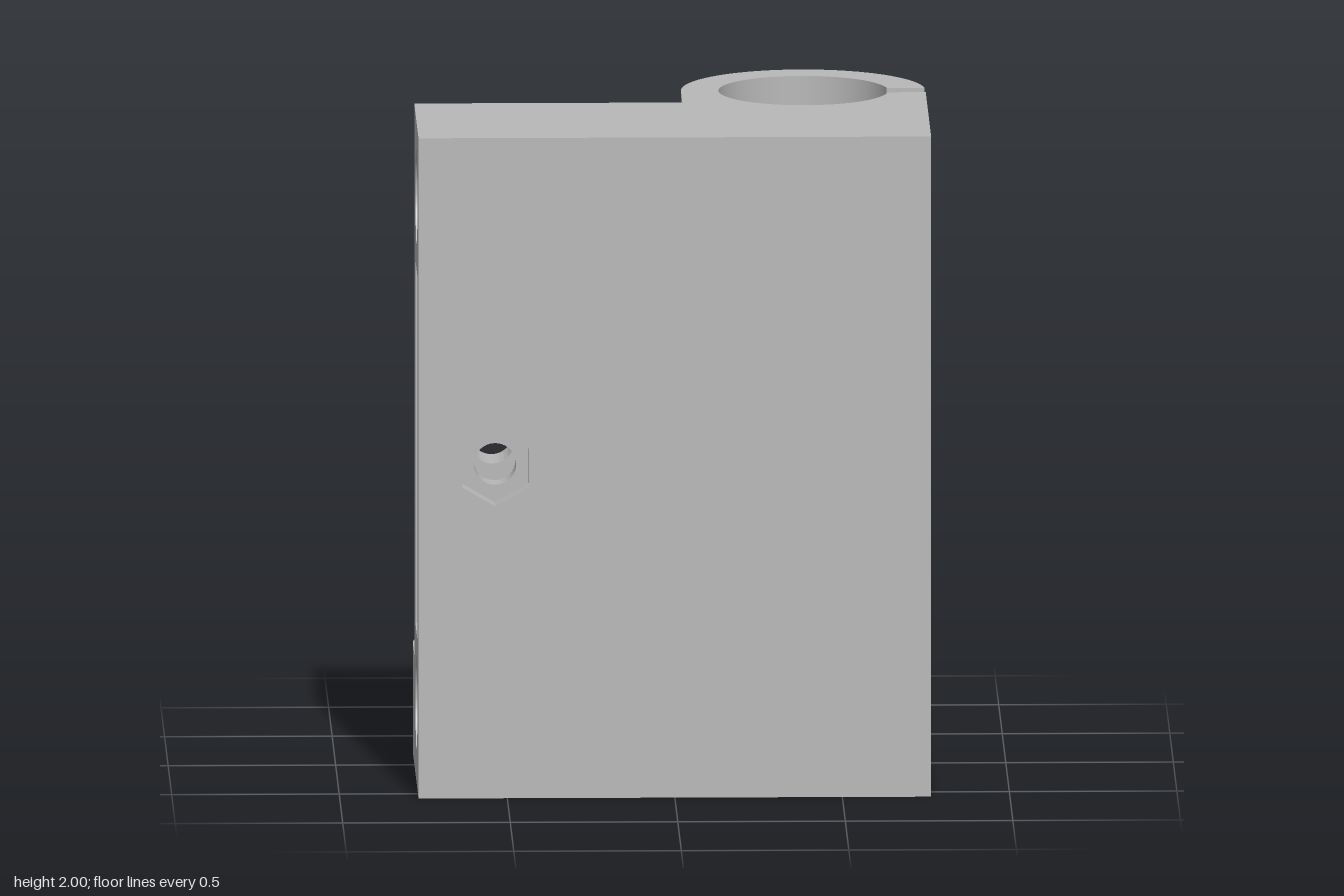
import * as THREE from 'three';
import { toCreasedNormals } from 'three/addons/utils/BufferGeometryUtils.js';

const W = 0.765, H = 2, FRONT = 0.583, BACK = -0.02;
const SLOT_BACK = 0.143, SLOT_FRONT = 0.43;      // z range of the side window
const TUBE = { x: 0.4, s: 0.218, r: 0.365, bore: 0.253 };
const BOLT = { x: -0.535, y: 1.0, r: 0.063 };

const circle = (x, y, r) => new THREE.Path().absarc(x, y, r, 0, Math.PI * 2, false);

function rect(x0, y0, x1, y1) {
  return new THREE.Shape([[x0, y0], [x1, y0], [x1, y1], [x0, y1]].map(p => new THREE.Vector2(...p)));
}

export function createModel() {
  const group = new THREE.Group();
  const grey = new THREE.MeshStandardMaterial({ color: 0xb8b8b8 });
  grey.name = 'grey plastic';

  // Extrude a shape along z (default), up y (plan: shape y = -z) or along x (side: shape x = -z)
  function add(name, shape, from, to, axis = 'z') {
    let geo = new THREE.ExtrudeGeometry(shape, { depth: to - from, bevelEnabled: false, curveSegments: 56 });
    geo.translate(0, 0, from);
    if (axis === 'y') geo.rotateX(-Math.PI / 2);
    if (axis === 'x') geo.rotateY(Math.PI / 2);
    geo = toCreasedNormals(geo, 0.5);
    const mesh = new THREE.Mesh(geo, grey);
    mesh.name = name;
    group.add(mesh);
  }

  // Front wall: bolt hole behind a hexagonal nut pocket
  const pocketZ = 0.51;
  const inner = rect(-W, 0, W, H);
  inner.holes.push(circle(BOLT.x, BOLT.y, BOLT.r));
  add('frontWallInner', inner, SLOT_FRONT, pocketZ);

  const outer = rect(-W, 0, W, H);
  const hex = [];
  for (let i = 0; i < 6; i++) {
    const a = Math.PI / 6 + i * Math.PI / 3;
    hex.push(new THREE.Vector2(BOLT.x + 0.116 * Math.cos(a), BOLT.y + 0.116 * Math.sin(a)));
  }
  outer.holes.push(new THREE.Path(hex));
  add('frontWallNutPocket', outer, pocketZ, FRONT);

  // Blocks above and below the window, each with a rod channel along x
  for (const [name, y0, y1, cy] of [['lowerRodBlock', 0, 0.455, 0.24], ['upperRodBlock', 1.555, H, 1.77]]) {
    const block = rect(-SLOT_FRONT, y0, -SLOT_BACK, y1);
    block.holes.push(circle(-0.2865, cy, 0.14));
    add(name, block, -W, W, 'x');
  }

  // Back wall with the bolt hole
  const split = -0.2;
  const back = rect(-W, 0, split, H);
  back.holes.push(circle(BOLT.x, BOLT.y, BOLT.r));
  add('backWall', back, BACK, SLOT_BACK);

  // Split bearing tube, joined to the rest of the back wall
  const gapLow = 0.183, gapHigh = 0.257;
  const angle = (s, r) => Math.asin((s - TUBE.s) / r);
  const tube = new THREE.Shape();
  tube.moveTo(split, -SLOT_BACK);
  tube.lineTo(W, -SLOT_BACK);
  tube.lineTo(W, gapLow);
  tube.absarc(TUBE.x, TUBE.s, TUBE.bore, angle(gapLow, TUBE.bore), angle(gapHigh, TUBE.bore), true);
  tube.absarc(TUBE.x, TUBE.s, TUBE.r, angle(gapHigh, TUBE.r), Math.PI, false);
  tube.lineTo(TUBE.x - TUBE.r, -BACK);
  tube.lineTo(split, -BACK);
  tube.closePath();
  add('bearingTube', tube, 0, H, 'y');

  // Foot flange with a large hole and three screw holes
  const flange = new THREE.Shape();
  flange.moveTo(-W, -BACK);
  flange.lineTo(TUBE.x - TUBE.r, -BACK);
  flange.absarc(TUBE.x, TUBE.s, TUBE.r, Math.PI, Math.PI / 2, true);
  flange.absarc(-0.4, TUBE.s, 0.365, Math.PI / 2, Math.PI, false);
  flange.closePath();
  flange.holes.push(circle(-0.335, 0.218, 0.18));
  for (const [x, s] of [[-0.595, 0.287], [-0.267, 0.477], [-0.08, 0.152]]) {
    flange.holes.push(circle(x, s, 0.066));
  }
  add('footFlange', flange, 0, 0.33, 'y');

  return group;
}
